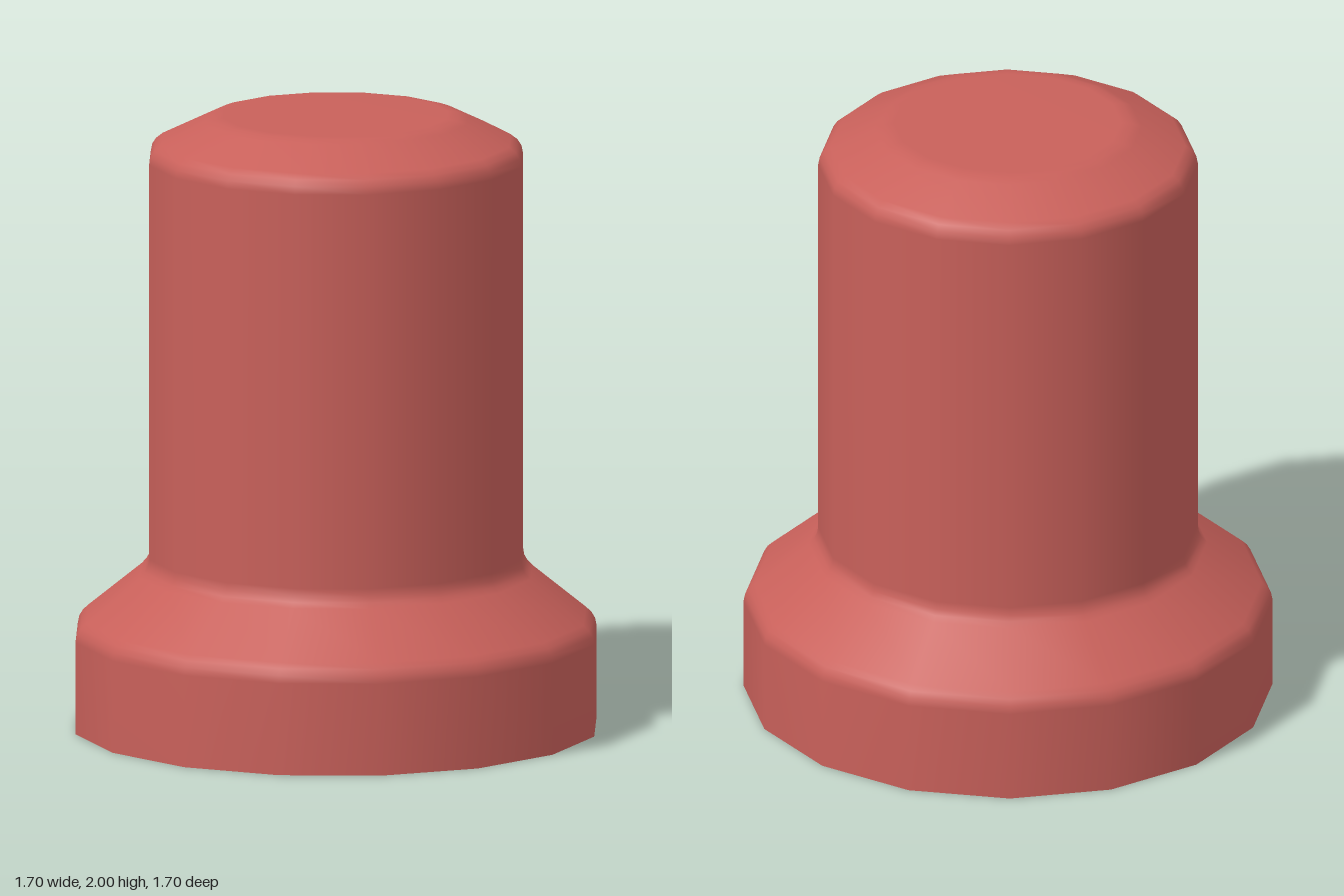
import * as THREE from 'three';

const SIDES = 16;

export function createModel() {
  const group = new THREE.Group();
  const red = new THREE.MeshStandardMaterial({ color: 0xc8605a });
  red.name = 'red';

  // Outer shell: wide foot, sloped shoulder, straight shaft, bevelled top
  const profile = [
    [0.85, 0], [0.85, 0.3], [0.845, 0.325], [0.833, 0.345], [0.815, 0.362],
    [0.64, 0.505], [0.624, 0.522], [0.614, 0.54], [0.61, 0.565],
    [0.61, 1.855], [0.605, 1.88], [0.592, 1.9], [0.57, 1.917],
    [0.43, 1.985], [0.4, 1.996], [0.365, 2], [0, 2],
  ].map(([r, y]) => new THREE.Vector2(r, y));
  const body = new THREE.Mesh(new THREE.LatheGeometry(profile, SIDES), red);
  body.name = 'body';
  group.add(body);

  // Flat underside
  const underside = new THREE.Mesh(new THREE.CircleGeometry(0.85, SIDES), red);
  underside.name = 'underside';
  underside.rotation.x = Math.PI / 2;
  group.add(underside);

  return group;
}
